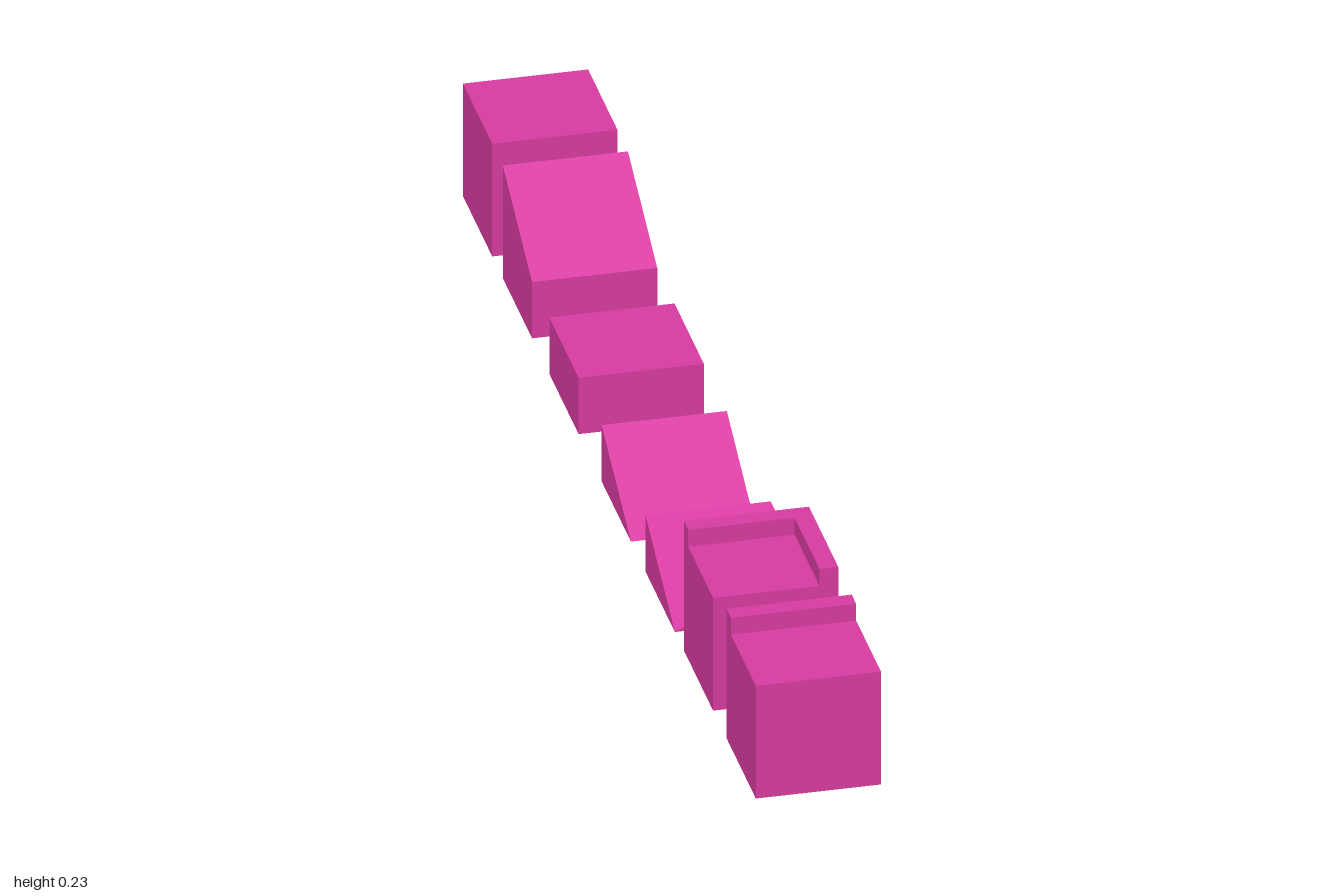
import * as THREE from 'three';

const SIZE = 0.2, HALF = SIZE / 2, LIP = 0.03;
const material = new THREE.MeshStandardMaterial({ color: 0xd93ca2 });

// Tile with a square base and its own height at each corner:
// back right (-x -z), back left (+x -z), front left (+x +z), front right (-x +z)
function tileGeometry(heights) {
  const signs = [[-1, -1], [1, -1], [1, 1], [-1, 1]];
  const base = signs.map(([x, z]) => new THREE.Vector3(x * HALF, 0, z * HALF));
  const top = base.map((p, i) => p.clone().setY(heights[i]));
  const positions = [], normals = [];

  // One flat-shaded quad; a side that has shrunk to a line is left out
  function quad(a, b, c, d) {
    const normal = c.clone().sub(a).cross(d.clone().sub(b));
    if (normal.length() < 1e-6) return;
    normal.normalize();
    for (const [p, q, r] of [[a, b, c], [a, c, d]]) {
      if (p.equals(q) || q.equals(r) || r.equals(p)) continue;
      for (const v of [p, q, r]) {
        positions.push(v.x, v.y, v.z);
        normals.push(normal.x, normal.y, normal.z);
      }
    }
  }

  quad(top[0], top[3], top[2], top[1]);
  quad(base[0], base[1], base[2], base[3]);
  for (let i = 0; i < 4; i++) {
    const j = (i + 1) % 4;
    quad(base[j], base[i], top[i], top[j]);
  }
  const geometry = new THREE.BufferGeometry();
  geometry.setAttribute('position', new THREE.Float32BufferAttribute(positions, 3));
  geometry.setAttribute('normal', new THREE.Float32BufferAttribute(normals, 3));
  return geometry;
}

// Raised rim sitting on top of a full-height tile
function addLip(tile, name, width, depth, x, z) {
  const lip = new THREE.Mesh(new THREE.BoxGeometry(width, LIP, depth), material);
  lip.name = name;
  lip.position.set(x, SIZE + LIP / 2, z);
  tile.add(lip);
}

export function createModel() {
  const group = new THREE.Group();
  group.name = 'terrainTiles';

  // Row of tiles from front to back: name, z centre, corner heights
  const tiles = [
    ['edgeTile', 0.9, [0.2, 0.2, 0.2, 0.2]],
    ['cornerEdgeTile', 0.608, [0.2, 0.2, 0.2, 0.2]],
    ['cornerRampTile', 0.347, [0.1, 0.1, 0.1, 0]],
    ['lowRampTile', 0.047, [0.1, 0.1, 0, 0]],
    ['halfTile', -0.31, [0.1, 0.1, 0.1, 0.1]],
    ['highRampTile', -0.628, [0.2, 0.2, 0.1, 0.1]],
    ['fullTile', -0.9, [0.2, 0.2, 0.2, 0.2]],
  ];
  for (const [name, z, heights] of tiles) {
    const tile = new THREE.Group();
    tile.name = name;
    tile.position.z = z;
    const body = new THREE.Mesh(tileGeometry(heights), material);
    body.name = name + 'Body';
    tile.add(body);

    // Rims along the back, and along the left side of the corner tile
    const inset = HALF - LIP / 2;
    if (name === 'edgeTile' || name === 'cornerEdgeTile') {
      addLip(tile, 'backLip', SIZE, LIP, 0, -inset);
    }
    if (name === 'cornerEdgeTile') {
      addLip(tile, 'leftLip', LIP, SIZE - LIP, inset, LIP / 2);
    }
    group.add(tile);
  }
  return group;
}
